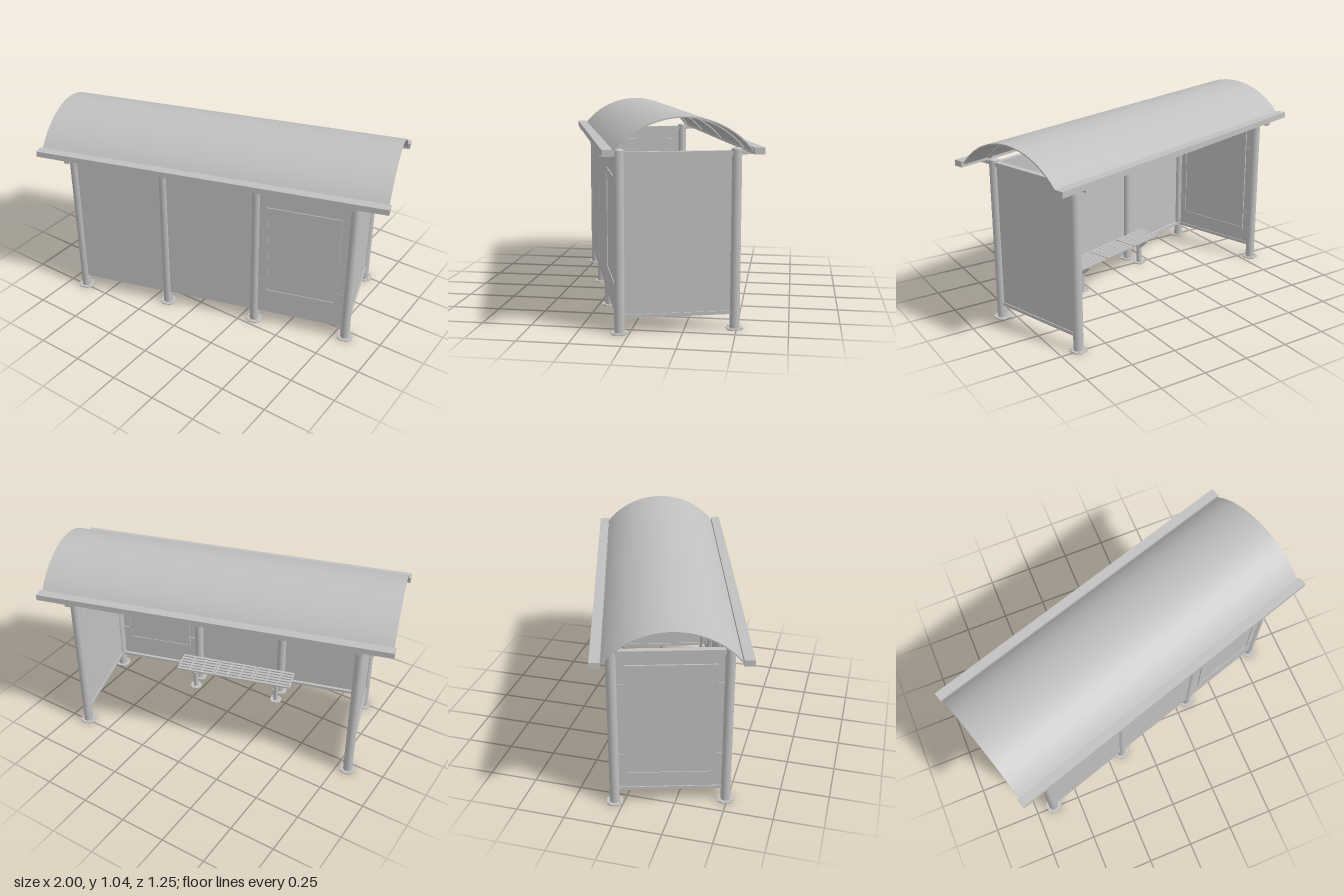
import * as THREE from 'three';
import { toCreasedNormals } from 'three/addons/utils/BufferGeometryUtils.js';

export function createModel() {
  const metal = new THREE.MeshStandardMaterial({ color: 0xc0c0c0 });
  metal.name = 'light grey metal';

  const model = new THREE.Group();
  model.name = 'shelter';
  model.rotation.y = 0.295;

  const U = 0.763, V = 0.28, BAY = U * 2 / 3;

  function add(name, geometry, x, y, z, parent = model) {
    const mesh = new THREE.Mesh(geometry, metal);
    mesh.name = name;
    mesh.position.set(x, y, z);
    parent.add(mesh);
    return mesh;
  }
  const box = (name, w, h, d, x, y, z, parent) =>
    add(name, new THREE.BoxGeometry(w, h, d), x, y, z, parent);

  // Foot plate: square with cut corners and four bolts
  function foot(parent, size) {
    const a = size / 2, c = a * 0.55;
    const shape = new THREE.Shape([[a, c], [c, a], [-c, a], [-a, c], [-a, -c], [-c, -a], [c, -a], [a, -c]]
      .map(([x, y]) => new THREE.Vector2(x, y)));
    const plate = new THREE.ExtrudeGeometry(shape, { depth: 0.006, bevelEnabled: false });
    plate.rotateX(-Math.PI / 2);
    add('footPlate', plate, 0, 0, 0, parent);
    for (const sx of [-1, 1]) for (const sz of [-1, 1]) {
      add('bolt', new THREE.CylinderGeometry(0.004, 0.004, 0.004, 6), sx * a * 0.66, 0.008, sz * a * 0.66, parent);
    }
  }

  // Round post with a low domed cap
  function post(x, z) {
    const g = new THREE.Group();
    g.name = 'post';
    g.position.set(x, 0, z);
    model.add(g);
    add('postShaft', new THREE.CylinderGeometry(0.025, 0.025, 0.874, 24), 0, 0.437, 0, g);
    const cap = add('postCap', new THREE.SphereGeometry(0.025, 24, 6, 0, Math.PI * 2, 0, Math.PI / 2), 0, 0.874, 0, g);
    cap.scale.y = 0.4;
    foot(g, 0.08);
  }
  for (let i = 0; i < 4; i++) post(-U + i * BAY, V);
  post(-U, -V);
  post(U, -V);

  // Framed poster case with brackets to the posts; spans local x
  function posterCase(parent, width, y0, y1, span) {
    const g = new THREE.Group();
    g.name = 'posterCase';
    parent.add(g);
    const h = y1 - y0, y = (y0 + y1) / 2, b = 0.012;
    box('posterBoard', width, h, 0.018, 0, y, 0, g);
    for (const s of [-1, 1]) {
      box('posterFrameSide', b, h, 0.026, s * (width - b) / 2, y, 0, g);
      box('posterFrameEdge', width, b, 0.026, 0, y + s * (h - b) / 2, 0, g);
      for (const by of [0.28, 0.68]) {
        const gap = (span - width) / 2;
        box('posterBracket', gap, 0.014, 0.018, s * (width / 2 + gap / 2), by, 0, g);
      }
    }
    return g;
  }

  // Wall bay made of a sheet and two rails; spans local x
  function wall(name, span, x, z, angle, sheetZ, railZ) {
    const g = new THREE.Group();
    g.name = name;
    g.position.set(x, 0, z);
    g.rotation.y = angle;
    model.add(g);
    box('wallSheet', span - 0.03, 0.785, 0.01, 0, 0.4675, sheetZ, g);
    for (const y of [0.084, 0.852]) box('wallRail', span - 0.03, 0.017, 0.02, 0, y, railZ, g);
    return g;
  }
  for (let i = -1; i <= 1; i++) {
    const bay = wall('longWall', BAY, i * BAY, V, 0, 0.009, -0.003);
    if (i === 1) posterCase(bay, 0.39, 0.215, 0.745, BAY - 0.04).position.z = 0.006;
  }
  wall('endWall', V * 2, U, 0, Math.PI / 2, 0, 0);
  const posterEnd = wall('endWall', V * 2, -U, 0, Math.PI / 2, 0, 0);
  posterCase(posterEnd, 0.45, 0.17, 0.79, V * 2 - 0.04);

  // Cross beams above the end walls
  for (const s of [-1, 1]) box('crossBeam', 0.03, 0.018, 0.735, s * U, 0.859, 0);

  // Edge gutters
  for (const s of [-1, 1]) box('gutter', 1.866, 0.031, 0.05, 0, 0.881, s * 0.347);

  // Curved sheet running along x
  function arch(name, radius, thickness, length, x) {
    const half = 0.9, mid = Math.PI / 2;
    const shape = new THREE.Shape();
    shape.absarc(0, 0, radius, mid - half, mid + half, false);
    shape.absarc(0, 0, radius - thickness, mid + half, mid - half, true);
    const geo = new THREE.ExtrudeGeometry(shape, { depth: length, bevelEnabled: false, curveSegments: 32 });
    geo.translate(0, 0, -length / 2);
    geo.rotateY(Math.PI / 2);
    add(name, toCreasedNormals(geo, 0.5), x, 0.632, 0);
  }
  arch('roofSheet', 0.408, 0.006, 1.848, 0);
  for (let i = 0; i < 4; i++) arch('roofRib', 0.403, 0.008, 0.02, -U + i * BAY);

  // Bench: three slatted sections on two forked legs
  const bench = new THREE.Group();
  bench.name = 'bench';
  bench.position.z = 0.183;
  model.add(bench);
  const seatY = 0.165, section = 0.232, depth = 0.14;
  for (let i = -1; i <= 1; i++) {
    for (let j = 0; j < 6; j++) {
      box('seatSlat', section - 0.006, 0.01, 0.015, i * section, seatY, -depth / 2 + 0.0075 + j * 0.025, bench);
    }
    for (let k = 0; k < 4; k++) {
      box('seatCrossbar', 0.008, 0.009, depth, i * section + (k / 3 - 0.5) * (section - 0.014), seatY - 0.001, 0, bench);
    }
  }
  for (const s of [-1, 1]) {
    const leg = new THREE.Group();
    leg.name = 'benchLeg';
    leg.position.x = s * 0.25;
    bench.add(leg);
    add('legShaft', new THREE.CylinderGeometry(0.014, 0.014, 0.12, 16), 0, 0.06, 0, leg);
    foot(leg, 0.065);
    const fork = new THREE.Shape([[-0.065, 0.16], [-0.065, 0.148], [-0.014, 0.1], [0.014, 0.1], [0.065, 0.148], [0.065, 0.16]]
      .map(([x, y]) => new THREE.Vector2(x, y)));
    const geo = new THREE.ExtrudeGeometry(fork, { depth: 0.016, bevelEnabled: false });
    geo.translate(0, 0, -0.008);
    geo.rotateY(Math.PI / 2);
    add('legFork', geo, 0, 0, 0, leg);
  }

  const root = new THREE.Group();
  root.name = 'busShelter';
  root.add(model);
  return root;
}
